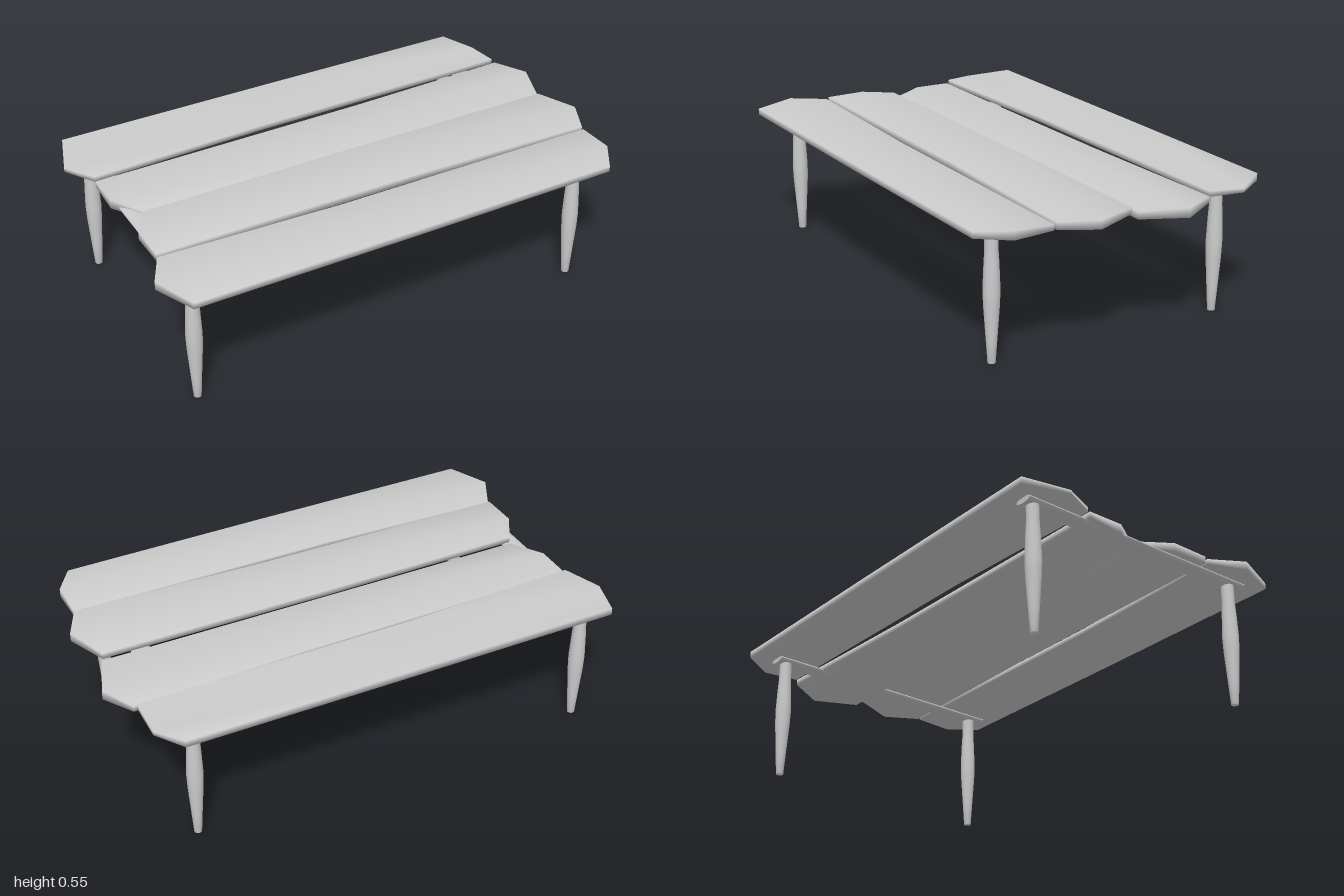
import * as THREE from 'three';

const material = new THREE.MeshStandardMaterial({ color: 0xcccccc });

// Hewn plank: rows run back edge, spine, front edge; each has [x, z] at left, middle, right.
// topY and bottomY give the height of each row. Shared vertices keep the normals smooth.
function plank(name, rows, topY, bottomY) {
  const positions = [], index = [];
  for (const heights of [topY, bottomY])
    rows.forEach((row, r) => row.forEach(([x, z]) => positions.push(x, heights[r], z)));
  const quad = (a, b, c, d) => index.push(a, b, c, a, c, d);

  // top and underside
  for (let r = 0; r < 2; r++) {
    for (let s = 0; s < 2; s++) {
      const a = r * 3 + s;
      quad(a, a + 3, a + 4, a + 1);
      quad(a + 9, a + 10, a + 13, a + 12);
    }
  }
  // rim, walking the outline left edge, front, right edge, back
  const rim = [0, 3, 6, 7, 8, 5, 2, 1];
  rim.forEach((a, i) => {
    const b = rim[(i + 1) % rim.length];
    quad(a, a + 9, b + 9, b);
  });

  const geometry = new THREE.BufferGeometry();
  geometry.setAttribute('position', new THREE.Float32BufferAttribute(positions, 3));
  geometry.setIndex(index);
  geometry.computeVertexNormals();
  const mesh = new THREE.Mesh(geometry, material);
  mesh.name = name;
  return mesh;
}

export function createModel() {
  const group = new THREE.Group();
  group.name = 'plankTable';

  // table top planks, front to back
  group.add(
    plank('frontPlank', [
      [[-0.93, 0.31], [-0.2, 0.325], [0.925, 0.31]],
      [[-1, 0.45], [-0.1, 0.46], [0.925, 0.47]],
      [[-0.93, 0.625], [0, 0.61], [0.85, 0.59]],
    ], [0.54, 0.546, 0.541], [0.518, 0.511, 0.516]),
    plank('frontMiddlePlank', [
      [[-0.86, 0.02], [0, 0], [0.925, -0.01]],
      [[-0.93, 0.14], [0.1, 0.15], [0.99, 0.16]],
      [[-0.93, 0.3], [0.15, 0.29], [0.925, 0.3]],
    ], [0.545, 0.549, 0.547], [0.521, 0.514, 0.518]),
    plank('backMiddlePlank', [
      [[-0.93, -0.28], [0.22, -0.31], [0.93, -0.345]],
      [[-0.93, -0.13], [0.1, -0.165], [1, -0.21]],
      [[-0.85, 0], [0, -0.015], [0.935, -0.03]],
    ], [0.531, 0.532, 0.529], [0.507, 0.494, 0.5]),
    plank('backPlank', [
      [[-0.94, -0.605], [0, -0.62], [0.845, -0.63]],
      [[-1, -0.43], [-0.1, -0.475], [0.92, -0.51]],
      [[-0.93, -0.29], [-0.2, -0.33], [0.92, -0.355]],
    ], [0.548, 0.53, 0.545], [0.52, 0.514, 0.524]),
  );

  const legProfile = [
    [0, 0], [0.015, 0], [0.021, 0.09], [0.03, 0.22],
    [0.032, 0.28], [0.028, 0.38], [0.025, 0.43], [0.025, 0.51],
  ].map(([r, y]) => new THREE.Vector2(r, y));
  const legGeometry = new THREE.LatheGeometry(legProfile, 14);
  const railGeometry = new THREE.CylinderGeometry(1, 1, 1.07, 14).rotateX(Math.PI / 2).scale(0.038, 0.012, 1);

  // flattened cross rail with a turned leg near each end
  for (const [side, x] of [['right', -0.873], ['left', 0.77]]) {
    const rail = new THREE.Mesh(railGeometry, material);
    rail.name = side + 'Rail';
    rail.position.set(x, 0.508, -0.008);
    group.add(rail);
    for (const [end, z] of [['Front', 0.47], ['Back', -0.5]]) {
      const leg = new THREE.Mesh(legGeometry, material);
      leg.name = side + end + 'Leg';
      leg.position.set(x, 0, z);
      group.add(leg);
    }
  }
  return group;
}
